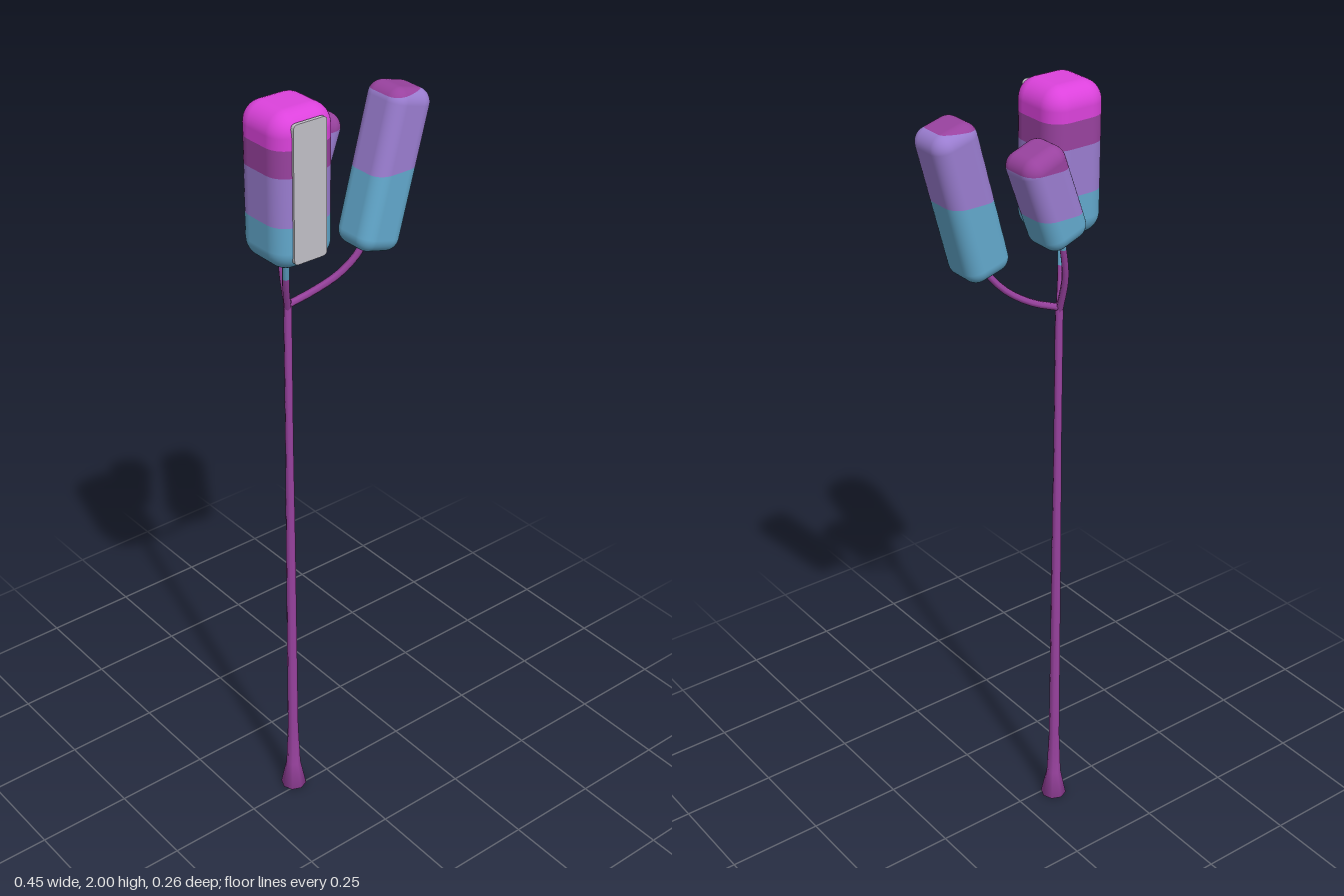
import * as THREE from 'three';
import { RoundedBoxGeometry } from 'three/addons/geometries/RoundedBoxGeometry.js';

const paint = (name, color) => {
  const m = new THREE.MeshStandardMaterial({ color });
  m.name = name;
  return m;
};

// Keep the slice of a geometry lying between two heights
function slice(geometry, low, high) {
  const g = geometry.index ? geometry.toNonIndexed() : geometry;
  const p = g.attributes.position, n = g.attributes.normal;
  const cut = (poly, h, sign) => {
    const out = [];
    poly.forEach((a, i) => {
      const b = poly[(i + 1) % poly.length];
      const da = sign * (a.p.y - h), db = sign * (b.p.y - h);
      if (da >= 0) out.push(a);
      if (da * db < 0) {
        const t = da / (da - db);
        out.push({ p: a.p.clone().lerp(b.p, t), n: a.n.clone().lerp(b.n, t).normalize() });
      }
    });
    return out;
  };
  const pos = [], nor = [];
  for (let i = 0; i < p.count; i += 3) {
    let poly = [0, 1, 2].map(k => ({
      p: new THREE.Vector3().fromBufferAttribute(p, i + k),
      n: new THREE.Vector3().fromBufferAttribute(n, i + k),
    }));
    poly = cut(cut(poly, low, 1), high, -1);
    for (let k = 1; k + 1 < poly.length; k++) {
      for (const v of [poly[0], poly[k], poly[k + 1]]) {
        pos.push(...v.p.toArray());
        nor.push(...v.n.toArray());
      }
    }
  }
  const out = new THREE.BufferGeometry();
  out.setAttribute('position', new THREE.Float32BufferAttribute(pos, 3));
  out.setAttribute('normal', new THREE.Float32BufferAttribute(nor, 3));
  return out;
}

export function createModel() {
  const model = new THREE.Group();
  model.name = 'lampPost';
  const blue = paint('blue', 0x62a8cc);
  const violet = paint('violet', 0x9a7dd0);
  const purple = paint('purple', 0x99429f);
  const magenta = paint('magenta', 0xdc42dc);
  const grey = paint('pale grey', 0xc0bfc6);

  const add = (parent, name, geometry, material) => {
    const mesh = new THREE.Mesh(geometry, material);
    mesh.name = name;
    parent.add(mesh);
    return mesh;
  };

  // Split a part into level colour bands: [material, top height], from the bottom up
  const addBanded = (name, geometry, bands) => {
    const group = new THREE.Group();
    group.name = name;
    let low = -1;
    for (const [material, high] of bands) {
      add(group, name + 'Band', slice(geometry, low, high), material);
      low = high;
    }
    model.add(group);
  };

  // Slim post with a flared foot
  const profile = [[0, 0], [0.034, 0], [0.019, 0.075], [0.014, 0.2], [0.012, 0.8],
    [0.010, 1.1], [0.010, 1.48], [0, 1.485]].map(([r, y]) => new THREE.Vector2(r, y));
  add(model, 'post', new THREE.LatheGeometry(profile, 8), purple).position.set(-0.1, 0, -0.019);

  // Three branches fanning out from the post top
  const branches = [
    ['rightBranch', [[-0.1, 1.46, -0.019], [-0.128, 1.55, 0.012], [-0.145, 1.66, 0.04]], 1.56],
    ['rearBranch', [[-0.1, 1.46, -0.019], [-0.09, 1.565, -0.053], [-0.06, 1.69, -0.072]], 1.64],
    ['leftBranch', [[-0.1, 1.47, -0.019], [-0.035, 1.493, -0.002], [0.02, 1.527, 0.02],
      [0.055, 1.565, 0.035], [0.083, 1.61, 0.045]], 2],
  ];
  for (const [name, points, change] of branches) {
    const curve = new THREE.CatmullRomCurve3(points.map(q => new THREE.Vector3(...q)));
    const tube = new THREE.TubeGeometry(curve, 10, 0.009, 6);
    addBanded(name, tube, [[purple, change], [blue, 3]].slice(0, change < 2 ? 2 : 1));
  }

  // Rounded lamp pods: size, corner radius, centre, sideways lean in degrees, bands
  const pods = [
    ['rightPod', [0.162, 0.367, 0.164], 0.05, [-0.145, 1.8165, 0.045], 0,
      [[blue, 1.745], [violet, 1.86], [purple, 1.923], [magenta, 3]]],
    ['rearPod', [0.117, 0.245, 0.115], 0.035, [-0.018, 1.787, -0.0715], 20,
      [[blue, 1.745], [violet, 1.86], [purple, 3]]],
    ['leftPod', [0.12, 0.383, 0.12], 0.035, [0.128, 1.773, 0.044], 15,
      [[blue, 1.777], [violet, 1.95], [purple, 3]]],
  ];
  for (const [name, size, radius, centre, lean, bands] of pods) {
    const box = new RoundedBoxGeometry(...size, 5, radius);
    box.rotateZ(-THREE.MathUtils.degToRad(lean)).translate(...centre);
    addBanded(name, box, bands);
  }

  // Pale plate on the front of the largest pod
  const w = 0.045, h = 0.162, r = 0.012;
  const outline = new THREE.Shape();
  outline.moveTo(-w + r, -h).lineTo(w - r, -h).quadraticCurveTo(w, -h, w, -h + r);
  outline.lineTo(w, h - r).quadraticCurveTo(w, h, w - r, h);
  outline.lineTo(-w + r, h).quadraticCurveTo(-w, h, -w, h - r);
  outline.lineTo(-w, -h + r).quadraticCurveTo(-w, -h, -w + r, -h);
  const plate = new THREE.ExtrudeGeometry(outline, { depth: 0.009, bevelEnabled: false, curveSegments: 4 });
  add(model, 'frontPlate', plate, grey).position.set(-0.147, 1.819, 0.1205);

  return model;
}
